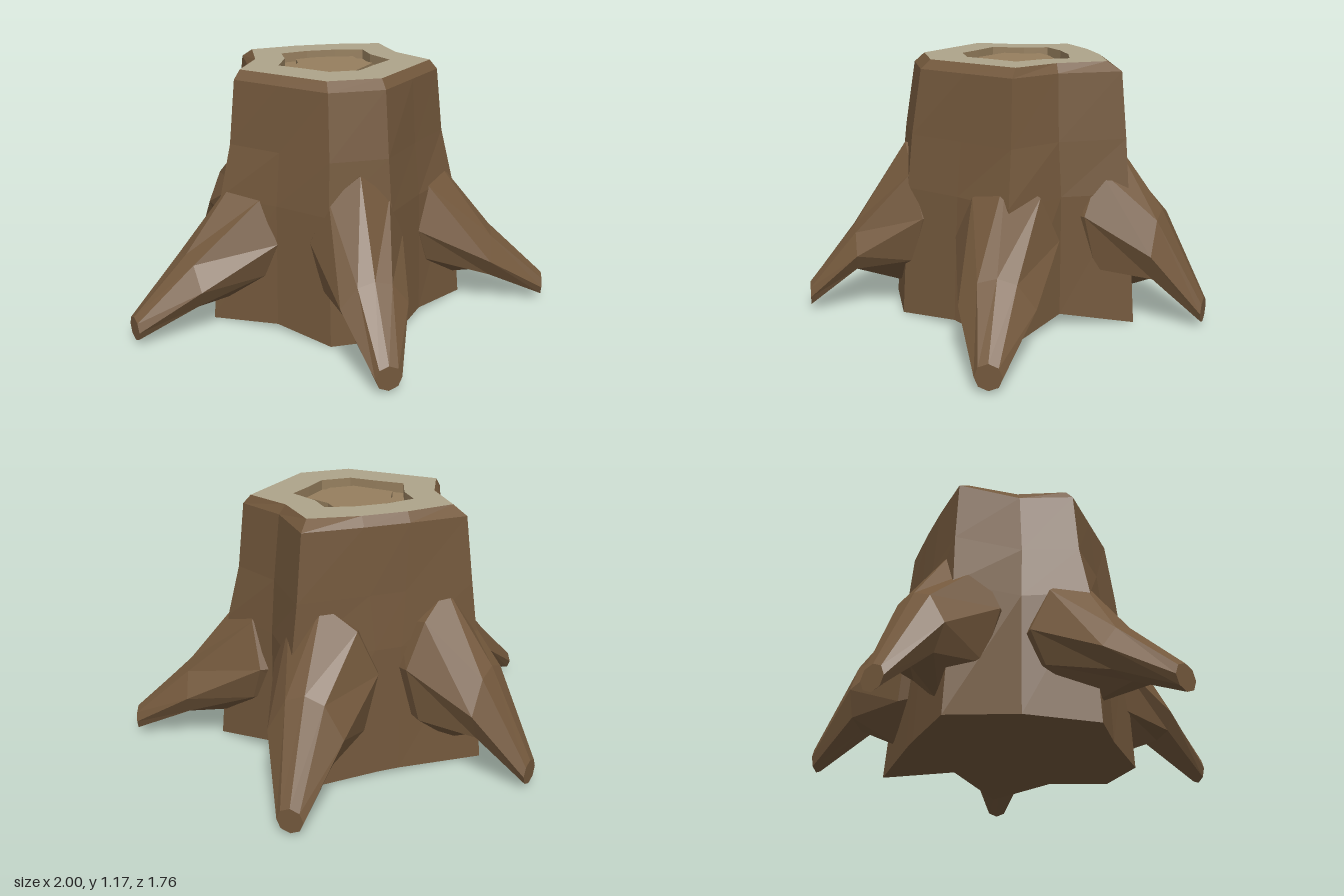
import * as THREE from 'three';

const bark = new THREE.MeshStandardMaterial({ color: 0x73583c, flatShading: true });
const sapwood = new THREE.MeshStandardMaterial({ color: 0xaea48a, flatShading: true });
const heartwood = new THREE.MeshStandardMaterial({ color: 0x967f5e, flatShading: true });

// Skin a list of rings (arrays of Vector3), with optional fan caps.
function loft(name, rings, material, capStart, capEnd) {
  const pos = [];
  const tri = (...pts) => pts.forEach((p) => pos.push(p.x, p.y, p.z));
  const n = rings[0].length;
  for (let i = 0; i < rings.length - 1; i++) {
    for (let j = 0; j < n; j++) {
      const k = (j + 1) % n;
      const a = rings[i][j], b = rings[i][k], c = rings[i + 1][k], d = rings[i + 1][j];
      tri(a, b, c);
      tri(a, c, d);
    }
  }
  const cap = (ring, flip) => {
    const mid = new THREE.Vector3();
    ring.forEach((p) => mid.addScaledVector(p, 1 / n));
    ring.forEach((p, j) => {
      const q = ring[(j + 1) % n];
      if (flip) tri(mid, q, p);
      else tri(mid, p, q);
    });
  };
  if (capStart) cap(rings[0], true);
  if (capEnd) cap(rings[rings.length - 1], false);
  const geometry = new THREE.BufferGeometry();
  geometry.setAttribute('position', new THREE.Float32BufferAttribute(pos, 3));
  geometry.computeVertexNormals();
  const mesh = new THREE.Mesh(geometry, material);
  mesh.name = name;
  return mesh;
}

// Mirror half an outline of [x, z, lift] points, front to back, into a full ring.
function outline(y, half) {
  const right = half.map(([x, z, lift = 0]) => new THREE.Vector3(x, y + lift, z));
  const left = right.map((p) => new THREE.Vector3(-p.x, p.y, p.z)).reverse();
  return [...right, ...left];
}

// Root section from [halfWidth, y, out] points running from top to bottom.
function section(points) {
  const side = (s) => points.map(([w, y, r]) => new THREE.Vector3(s * w, y, r));
  return [...side(-1), ...side(1).slice(1, -1).reverse()];
}

function makeRoot(name, base, tip, width, peak, midTop, midBottom) {
  const dx = tip[0] - base[0], dz = tip[1] - base[1];
  const len = Math.hypot(dx, dz), m = len * 0.53;
  const span = midTop - midBottom;
  const rings = [
    // end buried in the trunk
    section([[0, peak - 0.05, -0.16], [0.11 * width, peak - 0.14, -0.16], [0.17 * width, peak - 0.32, -0.18],
      [0.13 * width, 0.3, -0.16], [0, 0.18, -0.1]]),
    // where the root leaves the bark
    section([[0, peak, 0], [0.135 * width, peak - 0.11, -0.015], [0.21 * width, peak - 0.31, -0.05],
      [0.165 * width, 0.26, -0.01], [0, 0.11, 0.04]]),
    // bend
    section([[0, midTop, m], [0.075 * width, midTop - span * 0.1, m],
      [0.148 * width, midBottom + span * 0.45, m],
      [0.105 * width, midBottom + span * 0.08, m], [0, midBottom, m]]),
    // blunt tip
    section([0, 1, 2, 3, 4].map((i) => {
      const a = (i * Math.PI) / 4;
      return [0.057 * Math.sin(a), 0.072 + 0.057 * Math.cos(a), len];
    })),
  ];
  const root = loft(name, rings, bark, true, true);
  root.position.set(base[0], 0, base[1]);
  root.rotation.y = Math.atan2(dx, dz);
  return root;
}

export function createModel() {
  const group = new THREE.Group();
  group.name = 'treeStump';

  // Tapered five-cornered trunk with a bevelled upper rim
  const rim = outline(1.17, [[0.12, 0.31], [0.28, 0.155], [0.44, 0.0], [0.34, -0.2], [0.32, -0.43], [0.1, -0.465]]);
  group.add(loft('trunk', [
    outline(0, [[0.14, 0.46], [0.34, 0.25, 0.03], [0.61, 0.06], [0.43, -0.21, 0.06], [0.45, -0.55], [0.05, -0.55, 0.02]]),
    outline(0.6, [[0.14, 0.425], [0.33, 0.23], [0.555, 0.05], [0.42, -0.21], [0.42, -0.515], [0.06, -0.53]]),
    outline(0.84, [[0.13, 0.4], [0.31, 0.21], [0.5, 0.03], [0.4, -0.2], [0.39, -0.505], [0.08, -0.51]]),
    outline(1.13, [[0.125, 0.355], [0.3, 0.185], [0.47, 0.02], [0.37, -0.2], [0.36, -0.485], [0.1, -0.495]]),
    rim,
  ], bark, true, false));

  // Pale cut face, a groove sunk into it and a raised core
  const hole = [[0.07, 0.14], [0.16, 0.05], [0.26, -0.04], [0.205, -0.18], [0.2, -0.295], [0.07, -0.325]];
  const core = [[0.06, 0.07], [0.12, 0], [0.19, -0.08], [0.145, -0.17], [0.14, -0.245], [0.05, -0.265]];
  group.add(loft('cutFace', [rim, outline(1.17, hole)], sapwood));
  group.add(loft('growthRings', [
    outline(1.17, hole), outline(1.125, hole), outline(1.125, core), outline(1.15, core),
  ], heartwood, false, true));

  // One front root and two mirrored pairs
  group.add(makeRoot('frontRoot', [0, 0.42], [0, 0.88], 1, 0.78, 0.4, 0.2));
  for (const [side, s] of [['left', 1], ['right', -1]]) {
    group.add(makeRoot(side + 'SideRoot', [s * 0.45, 0.04], [s * 0.98, 0.215], 1.08, 0.73, 0.37, 0.14));
    group.add(makeRoot(side + 'BackRoot', [s * 0.28, -0.485], [s * 0.535, -0.845], 1.1, 0.82, 0.52, 0.2));
  }
  return group;
}
